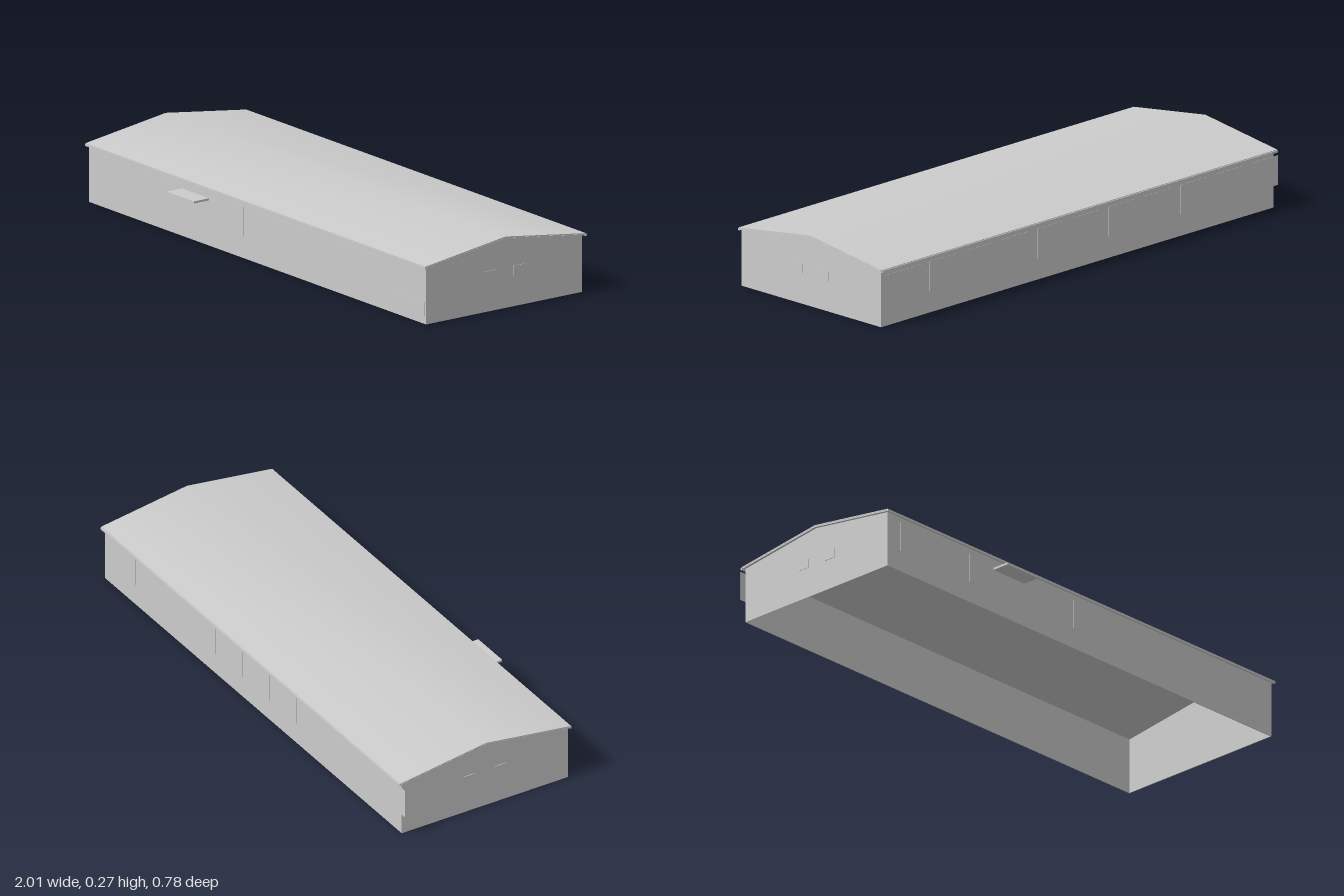
import * as THREE from 'three';
import { toCreasedNormals } from 'three/addons/utils/BufferGeometryUtils.js';

const FRONT = 0.322, BACK = -0.375, RIDGE = -0.027, END = 0.992, WALL = 0.003;

export function createModel() {
  const building = new THREE.Group();
  building.name = 'longHall';
  const grey = new THREE.MeshStandardMaterial({ color: 0xcccccc });
  grey.name = 'lightGrey';

  const add = (name, geometry, parent = building) => {
    const mesh = new THREE.Mesh(geometry, grey);
    mesh.name = name;
    parent.add(mesh);
    return mesh;
  };
  // Box given by its limits on each axis
  const box = (name, x0, x1, y0, y1, z0, z1, parent) =>
    add(name, new THREE.BoxGeometry(x1 - x0, y1 - y0, z1 - z0), parent)
      .position.set((x0 + x1) / 2, (y0 + y1) / 2, (z0 + z1) / 2);
  // Section drawn as [z, y] points and extruded along x
  const section = (points, x0, x1) => {
    const shape = new THREE.Shape(points.map(([z, y]) => new THREE.Vector2(-z, y)));
    const g = new THREE.ExtrudeGeometry(shape, { depth: x1 - x0, bevelEnabled: false });
    return g.rotateY(Math.PI / 2).translate(x0, 0, 0);
  };

  // Walls, open at the bottom
  box('frontWall', -END, END, 0, 0.211, FRONT - WALL, FRONT);
  box('backWall', -END, END, 0, 0.211, BACK, BACK + WALL);
  const gable = [[FRONT, 0], [FRONT, 0.209], [RIDGE, 0.258], [BACK, 0.209], [BACK, 0]];
  add('rightGable', section(gable, END - WALL, END));
  add('leftGable', section(gable, -END, -END + WALL));

  // Roof in two thin layers; the upper one is shaded softly over the ridge
  const roofLayer = (front, back, eave, ridge, t) => section(
    [[front, eave], [RIDGE, ridge], [back, eave], [back, eave - t], [RIDGE, ridge - t], [front, eave - t]], -1, 1);
  add('roofSheet', toCreasedNormals(roofLayer(0.331, -0.386, 0.217, 0.267, 0.004), 0.5));
  add('roofLining', roofLayer(0.324, -0.378, 0.2135, 0.2625, 0.004));

  // Gutters under both eaves
  box('frontGutter', -1, 1, 0.207, 0.2145, 0.326, 0.333);
  box('backGutter', -1, 1, 0.207, 0.2145, -0.39, -0.383);

  // Canopy and door
  box('canopy', -0.445, -0.285, 0.167, 0.175, FRONT, 0.39);
  const frontPlate = (name, x0, x1, y0, y1) => box(name, x0, x1, y0, y1, FRONT, FRONT + 0.001);
  frontPlate('entranceDoor', -0.44, -0.285, 0.005, 0.165);
  frontPlate('lowPanel', 0.80, 0.985, 0.03, 0.08);

  // Front windows
  for (const [x0, x1] of [[-0.924, -0.80], [-0.747, -0.625], [-0.57, -0.45], [-0.2, -0.08]]) {
    frontPlate('frontWindow', x0, x1, 0.08, 0.19);
  }
  frontPlate('windowBand', -0.03, 0.78, 0.08, 0.19);

  // Row of back windows
  for (let i = 0; i < 10; i++) {
    const x = 0.68 - i * 0.181;
    box('backWindow', x - 0.066, x + 0.066, 0.08, 0.19, BACK - 0.001, BACK);
  }
  box('backWindow', 0.79, 0.97, 0.08, 0.19, BACK - 0.001, BACK);

  // Small windows in both gables
  for (const side of [-1, 1]) {
    for (const z of [0.04, -0.09]) {
      const x = side * (END + 0.001);
      box('gableWindow', x - 0.001, x + 0.001, 0.115, 0.15, z - 0.024, z + 0.024);
    }
  }
  return building;
}
